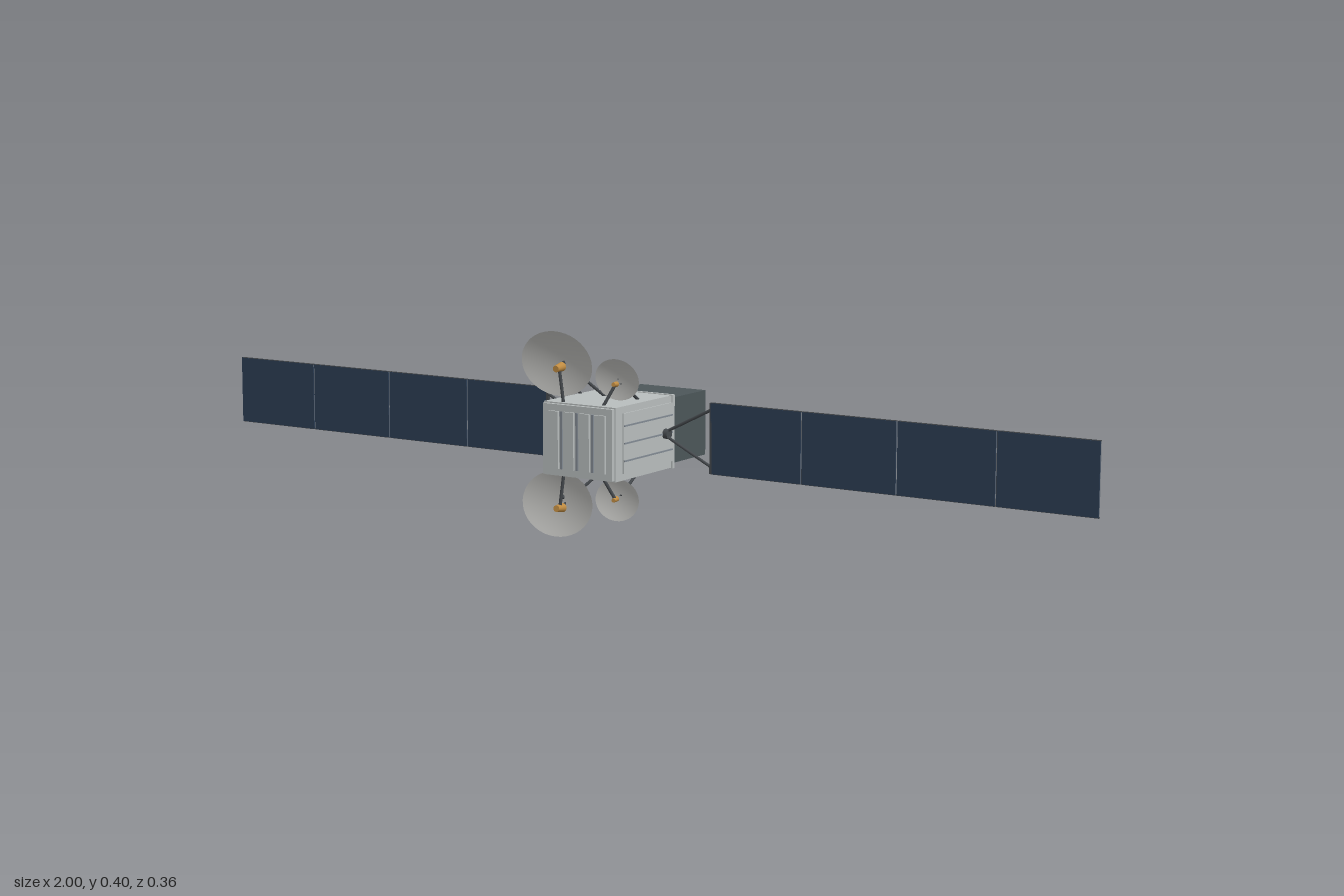
import * as THREE from 'three';

const mat = (name, color, side = THREE.FrontSide) => {
  const m = new THREE.MeshStandardMaterial({ color, side });
  m.name = name;
  return m;
};

export function createModel() {
  const model = new THREE.Group();
  model.name = 'satellite';
  const hull = mat('hull grey', 0xb8bdbd);
  const bay = mat('dark bay', 0x4c5659);
  const cells = mat('solar cell navy', 0x2c3e54);
  const backing = mat('panel backing grey', 0x747b83);
  const strutMat = mat('strut charcoal', 0x45494d);
  const dishMat = mat('dish grey', 0xb9b9b6, THREE.DoubleSide);
  const gold = mat('horn gold', 0xc08c42);
  const steel = mat('ring steel', 0x838b94);
  const CY = 0.2085; // height of the central axis

  const add = (name, geo, material, x = 0, y = 0, z = 0, parent = model) => {
    const m = new THREE.Mesh(geo, material);
    m.name = name;
    m.position.set(x, y, z);
    parent.add(m);
    return m;
  };
  const box = (name, w, h, d, material, x, y, z) =>
    add(name, new THREE.BoxGeometry(w, h, d), material, x, y, z);
  // Tapered round bar between two points
  const bar = (name, a, b, r0, r1, material, sides = 8) => {
    const p = new THREE.Vector3(...a), q = new THREE.Vector3(...b);
    const dir = q.clone().sub(p);
    const m = add(name, new THREE.CylinderGeometry(r1, r0, dir.length(), sides), material);
    m.position.copy(p).add(q).multiplyScalar(0.5);
    m.quaternion.setFromUnitVectors(new THREE.Vector3(0, 1, 0), dir.normalize());
    return m;
  };

  // Main hull, rear flange and front plate
  box('mainBody', 0.166, 0.143, 0.201, hull, 0, CY, 0.0675);
  box('rearFlange', 0.172, 0.146, 0.008, hull, 0, CY, -0.031);
  box('frontPlate', 0.16, 0.138, 0.009, hull, 0, CY, 0.1718);
  // Front louvres with dark slots between them
  for (const x of [-0.054, -0.018, 0.018, 0.054]) {
    box('frontSlat', 0.024, 0.112, 0.005, hull, x, CY, 0.1785);
  }
  for (const x of [-0.036, 0, 0.036]) {
    box('frontSlot', 0.005, 0.112, 0.003, steel, x, CY, 0.1775);
  }

  // Side radiators with raised ribs
  for (const s of [-1, 1]) {
    box('sideRadiator', 0.004, 0.116, 0.172, hull, s * 0.084, CY, 0.059);
    for (const dy of [-0.034, 0, 0.034]) {
      box('radiatorRib', 0.003, 0.003, 0.17, steel, s * 0.0865, CY + dy, 0.059);
    }
  }

  // Rear bay and engine ring
  box('rearBay', 0.154, 0.13, 0.129, bay, 0, CY, -0.0985);
  const ringProfile = [[0.036, 0], [0.056, 0], [0.056, 0.018], [0.045, 0.018], [0.045, 0.006], [0.036, 0.006]]
    .map(([x, y]) => new THREE.Vector2(x, y));
  const ringGeo = new THREE.LatheGeometry(ringProfile, 40).toNonIndexed();
  ringGeo.computeVertexNormals();
  const ringMat = steel.clone();
  ringMat.side = THREE.DoubleSide;
  ringMat.name = 'ring steel two sided';
  add('engineRing', ringGeo, ringMat, 0, CY, -0.163).rotation.x = -Math.PI / 2;
  const cap = new THREE.CylinderGeometry(0.037, 0.037, 0.004, 32).rotateX(Math.PI / 2);
  add('engineCore', cap, backing, 0, CY, -0.165);

  // Solar wings
  const X0 = 0.19, PW = 0.2025, PH = 0.138;
  for (const s of [-1, 1]) {
    // Rotary hub and V-shaped yoke
    bar('wingHub', [s * 0.08, CY, 0], [s * 0.096, CY, 0], 0.01, 0.01, strutMat, 12);
    for (const v of [-1, 1]) {
      bar('yokeArm', [s * 0.092, CY + v * 0.006, 0], [s * X0, CY + v * 0.055, 0], 0.003, 0.003, strutMat);
    }
    box('yokeCrossbar', 0.005, PH, 0.006, strutMat, s * (X0 + 0.002), CY, 0);
    for (let i = 0; i < 4; i++) {
      const x = s * (X0 + PW * (i + 0.5));
      box('panelBacking', PW - 0.003, PH, 0.003, backing, x, CY, -0.0005);
      box('panelCells', PW - 0.003, PH, 0.002, cells, x, CY, 0.002);
      for (const v of [-1, 1]) {
        box('panelEdge', PW - 0.003, 0.002, 0.005, strutMat, x, CY + v * 0.069, -0.0005);
        // Dashed stitching on the back
        for (let k = 0; k < 10; k++) {
          box('backStitch', 0.01, 0.002, 0.001, strutMat, x + (k - 4.5) * 0.0195, CY + v * 0.056, -0.0022);
        }
      }
      // Hinges fold alternately to the back
      if (i % 2 === 0) box('panelHinge', 0.006, PH, 0.003, strutMat, s * (X0 + PW * (i + 1)), CY, -0.003);
    }
  }

  // Shallow elliptical reflector, opening toward +z
  const dishGeo = (rx, ry, depth) => {
    const pts = [];
    for (let i = 0; i <= 8; i++) pts.push(new THREE.Vector2(rx * i / 8, depth * ((i / 8) ** 2 - 1)));
    return new THREE.LatheGeometry(pts, 40).rotateX(Math.PI / 2).scale(1, ry / rx, 1);
  };
  const antennas = [
    { name: 'large', x: -0.087, dy: 0.138, z: 0.1195, rx: 0.083, ry: 0.0645, depth: 0.013,
      struts: [[-0.022, -0.08, 0.142], [-0.08, -0.082, 0.128]],
      mast: [[-0.045, 0.07, 0.157], [-0.053, 0.135, 0.159]],
      horn: [[-0.053, 0.136, 0.171], [-0.055, 0.138, 0.147]], r: [0.0065, 0.009] },
    { name: 'small', x: 0.052, dy: 0.117, z: 0.117, rx: 0.05, ry: 0.0405, depth: 0.008,
      struts: [[0.01, 0.05, 0.119], [0.055, 0.055, 0.11]],
      mast: [[0.045, 0.07, 0.154], [0.062, 0.11, 0.139]],
      horn: [[0.063, 0.112, 0.146], [0.06, 0.111, 0.131]], r: [0.004, 0.0055] },
  ];

  // Antennas above the hull and mirrored below
  for (const s of [1, -1]) {
    const at = ([x, dy, z]) => [x, CY + s * dy, z];
    for (const a of antennas) {
      const dish = add(a.name + 'Dish', dishGeo(a.rx, a.ry, a.depth), dishMat, a.x, CY + s * a.dy, a.z);
      dish.rotation.x = s * 0.117;
      for (const [bx, tx, ty] of a.struts) {
        bar(a.name + 'DishStrut', at([bx, 0.07, 0.047]), at([tx, ty, 0.108]), 0.003, 0.003, strutMat);
      }
      bar(a.name + 'FeedMast', at(a.mast[0]), at(a.mast[1]), 0.0032, 0.0032, strutMat);
      bar(a.name + 'FeedHorn', at(a.horn[0]), at(a.horn[1]), a.r[0], a.r[1], gold, 16);
    }
  }
  return model;
}
